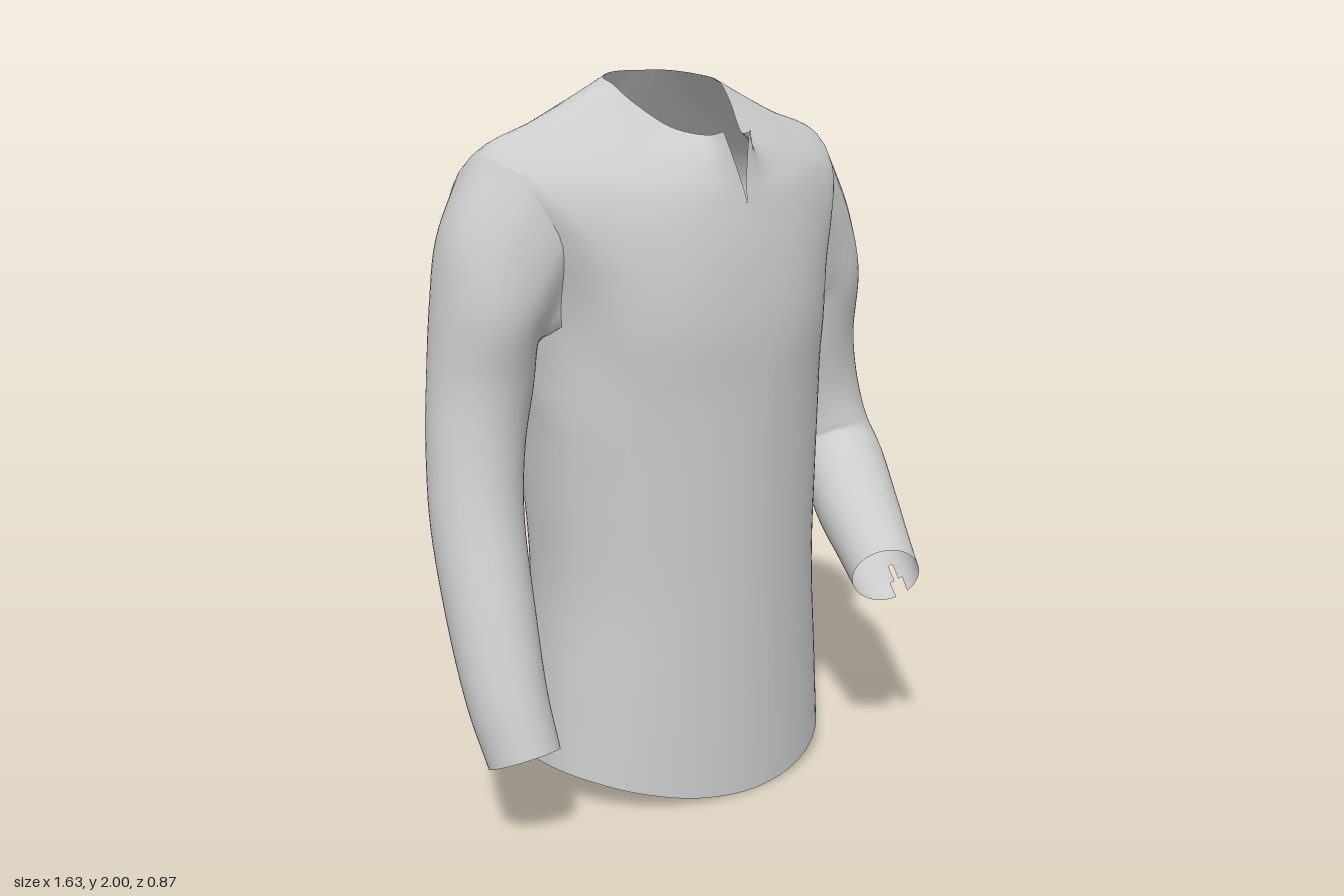
import * as THREE from 'three';
import { mergeGeometries, mergeVertices } from 'three/addons/utils/BufferGeometryUtils.js';

const V = (x, y, z) => new THREE.Vector3(x, y, z);
const SUB = 6; // subdivisions between control points
const material = new THREE.MeshStandardMaterial({ color: 0xcccccc, side: THREE.DoubleSide });

// Quad grid through point(i, j); skip(i, j) leaves a cell open
function grid(point, nu, nv, skip) {
  const pos = [], idx = [];
  for (let j = 0; j <= nv; j++)
    for (let i = 0; i <= nu; i++) pos.push(...point(i, j).toArray());
  for (let j = 0; j < nv; j++)
    for (let i = 0; i < nu; i++) {
      if (skip(i, j)) continue;
      const a = j * (nu + 1) + i, b = a + nu + 1;
      idx.push(a, a + 1, b + 1, a, b + 1, b);
    }
  const g = new THREE.BufferGeometry();
  g.setAttribute('position', new THREE.Float32BufferAttribute(pos, 3));
  g.setIndex(idx);
  return g;
}

function mirror(g) {
  const m = g.clone().scale(-1, 1, 1), ix = m.index.array;
  for (let k = 0; k < ix.length; k += 3) [ix[k], ix[k + 1]] = [ix[k + 1], ix[k]];
  return m;
}

function mesh(name, g) {
  g = mergeVertices(g, 1e-4);
  g.computeVertexNormals();
  const m = new THREE.Mesh(g, material);
  m.name = name;
  return m;
}

// Lower body half sections: half width, front z, back z, y at front, side, back
const lower = [
  [0.477, 0.28, -0.425, 0.0, 0.095, 0.015],
  [0.46, 0.28, -0.395, 0.28, 0.32, 0.28],
  [0.44, 0.28, -0.392, 0.58, 0.6, 0.58],
  [0.448, 0.282, -0.42, 0.88, 0.88, 0.88],
  [0.458, 0.285, -0.435, 1.14, 1.1, 1.14],
].map(([a, zf, zb, yf, ys, yb]) => Array.from({ length: 9 }, (_, k) => {
  const t = k * Math.PI / 8, s = Math.sin(t), c = Math.cos(t), mid = -0.06;
  const z = c > 0 ? mid + (zf - mid) * c : mid + (zb - mid) * Math.pow(-c, 0.75);
  return V(a * s, ys + ((c > 0 ? yf : yb) - ys) * c * c, z);
}));

// Upper body half sections from front centre to back centre
const chest = [
  [0, 1.34, .285], [.2, 1.34, .26], [.36, 1.34, .17], [.455, 1.35, .01], [.475, 1.27, -.14],
  [.475, 1.36, -.29], [.4, 1.35, -.395], [.2, 1.35, -.435], [0, 1.35, -.435]];
const armhole = [
  [0, 1.52, .265], [.2, 1.53, .24], [.37, 1.55, .16], [.485, 1.57, .06], [.56, 1.57, -.13],
  [.54, 1.57, -.34], [.42, 1.56, -.41], [.22, 1.55, -.43], [0, 1.55, -.425]];
const shoulder = [
  [0, 1.66, .235], [.2, 1.68, .2], [.4, 1.71, .1], [.54, 1.745, 0], [.6, 1.795, -.13],
  [.58, 1.73, -.28], [.43, 1.71, -.37], [.22, 1.72, -.385], [0, 1.72, -.375]];
const yoke = [
  [.014, 1.74, .215], [.14, 1.76, .17], [.27, 1.79, .09], [.36, 1.85, -.03], [.4, 1.885, -.13],
  [.38, 1.865, -.23], [.28, 1.865, -.29], [.14, 1.86, -.3], [0, 1.86, -.295]];
const neck = [
  [.045, 1.85, .19], [.065, 1.84, .14], [.12, 1.86, .06], [.17, 1.92, -.03], [.19, 1.97, -.1],
  [.175, 1.985, -.16], [.13, 1.995, -.2], [.07, 2, -.217], [0, 2, -.22]];

const flip = p => V(-p.x, p.y, p.z);
const smooth = pts => new THREE.CatmullRomCurve3(pts, false, 'catmullrom', 0.5);

// Half body points: smooth around each section, then up each column
const NU = 8 * SUB, NV = 9 * SUB;
const rows = [...lower, ...[chest, armhole, shoulder, yoke, neck].map(r => r.map(p => V(...p)))];
const rowCurves = rows.map(r => smooth([flip(r[1]), ...r, flip(r[7])]));
const columns = Array.from({ length: NU + 1 }, (_, i) =>
  smooth(rowCurves.map(c => c.getPoint((1 + i / SUB) / 10))));
function bodyPoint(i, j) {
  const p = columns[i].getPoint(j / NV);
  p.x = Math.max(0, p.x);
  return p;
}
const H = { u0: 3 * SUB, u1: 5 * SUB, v0: 5 * SUB, v1: 7 * SUB }; // armhole cells

function makeBody() {
  const half = grid(bodyPoint, NU, NV, (i, j) => i >= H.u0 && i < H.u1 && j >= H.v0 && j < H.v1);
  const g = mergeGeometries([half, mirror(half)]), p = g.attributes.position;
  // Soft cloth folds across the lower back
  for (let k = 0; k < p.count; k++) {
    const x = p.getX(k), y = p.getY(k), z = p.getZ(k);
    const w = THREE.MathUtils.smoothstep(-z, 0.2, 0.38) *
      THREE.MathUtils.smoothstep(y, 0.2, 0.6) * (1 - THREE.MathUtils.smoothstep(y, 0.95, 1.3));
    p.setZ(k, z + 0.008 * w * Math.sin(22 * x + 9 * y + 2 * Math.sin(7 * y)));
  }
  return mesh('body', g);
}

// Armhole edge from the shoulder tip, forward, down, under and back up
function armholeLoop() {
  const loop = [], mid = 4 * SUB;
  for (let i = mid; i > H.u0; i--) loop.push(bodyPoint(i, H.v1));
  for (let j = H.v1; j > H.v0; j--) loop.push(bodyPoint(H.u0, j));
  for (let i = H.u0; i < H.u1; i++) loop.push(bodyPoint(i, H.v0));
  for (let j = H.v0; j < H.v1; j++) loop.push(bodyPoint(H.u1, j));
  for (let i = H.u1; i >= mid; i--) loop.push(bodyPoint(i, H.v1));
  return loop;
}

// Sleeve sections: centre x, y, z, radius outward, radius forward
function sleeve(sections) {
  const edge = armholeLoop(), n = edge.length - 1;
  const centres = [V(0.42, 1.58, -0.14), ...sections.map(s => V(s[0], s[1], s[2]))];
  const rings = sections.map((s, k) => {
    const next = centres[Math.min(k + 2, centres.length - 1)];
    const d = next.clone().sub(centres[k]).normalize();
    const out = V(1, 0, 0).addScaledVector(d, -d.x).normalize();
    const fwd = d.clone().cross(out);
    return edge.map((_, i) => {
      const a = i / n * Math.PI * 2;
      return centres[k + 1].clone().addScaledVector(out, s[3] * Math.cos(a)).addScaledVector(fwd, s[4] * Math.sin(a));
    });
  });
  // Rounded sleeve cap between the armhole and the first section
  const cap = edge.map((p, i) => {
    const q = p.clone().lerp(rings[0][i], 0.5);
    q.x += 0.03 * Math.max(0, Math.cos(i / n * Math.PI * 2));
    return q;
  });
  const lines = edge.map((p, i) => smooth([p, cap[i], ...rings.map(r => r[i])]));
  const nv = (sections.length + 1) * SUB, slit = Math.round(n * 0.88);
  // Cuff slit widens toward the wrist
  return grid((i, j) => lines[i].getPoint(j / nv), n, nv,
    (i, j) => j >= nv - 6 && Math.abs(i - slit) <= (j >= nv - 3 ? 1 : 0));
}

export function createModel() {
  const shirt = new THREE.Group();
  shirt.name = 'shirt';
  shirt.add(makeBody());
  // Left sleeve, bent forward at the elbow
  shirt.add(mesh('leftSleeve', sleeve([
    [.6, 1.36, -.14, .145, .17],
    [.61, 1.2, -.155, .14, .15],
    [.645, 1.04, -.155, .135, .135],
    [.675, .89, -.13, .13, .135],
    [.668, .79, -.05, .135, .125],
    [.57, .69, .12, .125, .118],
    [.49, .625, .26, .11, .105],
    [.425, .57, .375, .1, .093],
  ])));
  // Right sleeve, hanging and slightly forward
  shirt.add(mesh('rightSleeve', mirror(sleeve([
    [.6, 1.36, -.14, .145, .17],
    [.61, 1.2, -.15, .14, .15],
    [.64, 1.03, -.135, .132, .135],
    [.67, .83, -.09, .125, .128],
    [.695, .6, 0, .118, .12],
    [.71, .4, .085, .107, .11],
    [.703, .245, .15, .097, .1],
  ]))));
  return shirt;
}
